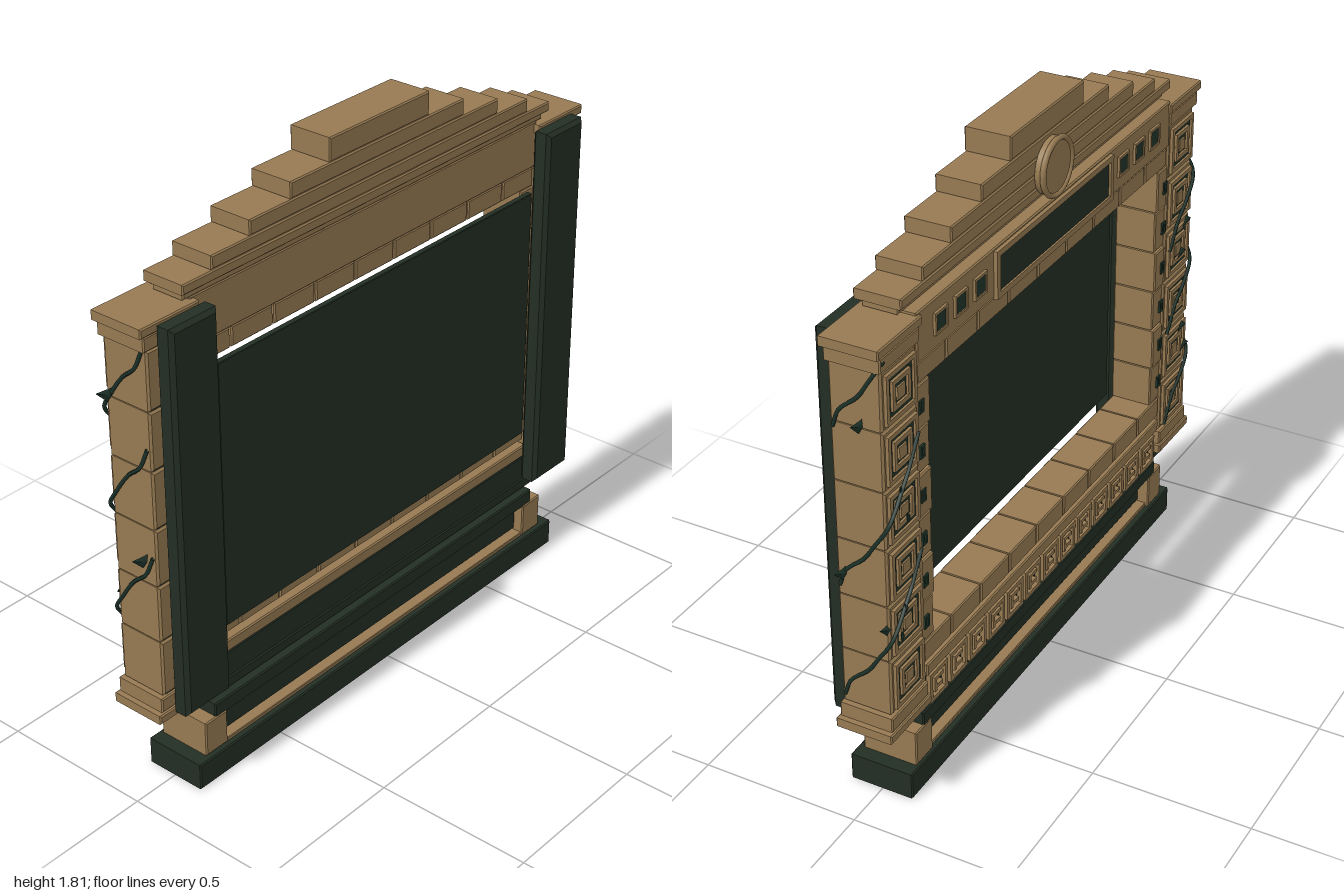
import * as THREE from 'three';

const mat = (name, color, side = THREE.FrontSide) => {
  const m = new THREE.MeshStandardMaterial({ color, side });
  m.name = name;
  return m;
};

export function createModel() {
  const stone = mat('sandstone', 0x967a52);
  const dark = mat('dark green slab', 0x232e24);
  const inlay = mat('green inlay', 0x1f3529);
  const vineMat = mat('vine green', 0x1c3229, THREE.DoubleSide);
  const root = new THREE.Group();

  const add = (parent, name, geo, material) => {
    const m = new THREE.Mesh(geo, material);
    m.name = name;
    parent.add(m);
    return m;
  };
  // box given by its limits, with chamfered edges
  const block = (parent, name, material, x0, x1, y0, y1, z0, z1, c = 0.004) => {
    const s = new THREE.Shape();
    const w = (x1 - x0) / 2 - c, h = (y1 - y0) / 2 - c;
    s.moveTo(-w, -h).lineTo(w, -h).lineTo(w, h).lineTo(-w, h).closePath();
    const g = new THREE.ExtrudeGeometry(s, {
      depth: z1 - z0 - 2 * c, bevelThickness: c, bevelSize: c, bevelSegments: 1,
    });
    g.translate((x0 + x1) / 2, (y0 + y1) / 2, z0 + c);
    return add(parent, name, g, material);
  };
  const plate = (parent, name, material, x, y, z, w, h, d = 0.006) => {
    const m = add(parent, name, new THREE.BoxGeometry(w, h, d), material);
    m.position.set(x, y, z);
    return m;
  };
  // rectangular ring facing both ways
  const ring = (parent, name, material, x, y, z, w, h, t, d = 0.006) => {
    const rect = (P, a, b) => new P().moveTo(-a, -b).lineTo(a, -b).lineTo(a, b).lineTo(-a, b).closePath();
    const s = rect(THREE.Shape, w / 2, h / 2);
    s.holes.push(rect(THREE.Path, w / 2 - t, h / 2 - t));
    const g = new THREE.ExtrudeGeometry(s, { depth: d, bevelEnabled: false });
    add(parent, name, g, material).position.set(x, y, z - d / 2);
  };
  const group = (name) => {
    const g = new THREE.Group();
    g.name = name;
    root.add(g);
    return g;
  };

  // stand
  const stand = group('stand');
  block(stand, 'basePlinth', dark, -0.845, 0.845, 0, 0.086, -0.1, 0.105);
  block(stand, 'baseStrip', stone, -0.71, 0.71, 0.084, 0.097, -0.08, 0.085, 0.002);
  for (const s of [-1, 1])
    block(stand, 'foot', stone, s * 0.755 - 0.045, s * 0.755 + 0.045, 0.086, 0.2, -0.09, 0.088);
  block(stand, 'standPanel', dark, -0.705, 0.705, 0.106, 0.195, -0.055, 0.06);
  block(stand, 'standRail', dark, -0.755, 0.755, 0.193, 0.242, -0.088, 0.085);
  block(stand, 'lowerBand', dark, -0.8, 0.8, 0.245, 0.282, -0.083, 0.062);
  block(stand, 'friezeBand', dark, -0.75, 0.75, 0.28, 0.37, -0.083, 0.06);
  block(stand, 'ledge', stone, -0.745, 0.745, 0.37, 0.41, -0.1, 0.062);

  // square spirals along the back of the frieze
  const frieze = group('keyFrieze');
  for (let i = 0; i < 13; i++) {
    const x = (i - 6) * 0.113, y = 0.309, z = -0.089;
    ring(frieze, 'keyFrame', stone, x, y, z, 0.098, 0.1, 0.014, 0.016);
    plate(frieze, 'keyHook', stone, x, y + 0.019, z, 0.048, 0.012, 0.016);
    plate(frieze, 'keyHook', stone, x + 0.018, y, z, 0.012, 0.05, 0.016);
    plate(frieze, 'keyHook', stone, x - 0.004, y - 0.012, z, 0.034, 0.012, 0.016);
  }

  // brick surround of the opening
  const surround = group('brickSurround');
  const seams = [-0.755, -0.6, -0.429, -0.257, -0.086, 0.086, 0.257, 0.429, 0.6, 0.755];
  for (let i = 0; i < 9; i++) {
    const a = seams[i] + 0.003, b = seams[i + 1] - 0.003;
    block(surround, 'lintelBrick', stone, a, b, 1.325, 1.388, -0.095, 0.045);
    block(surround, 'sillBrick', stone, a, b, 0.42, 0.488, -0.095, 0.045);
  }
  for (const s of [-1, 1]) {
    for (let i = 0; i < 6; i++) {
      const y = 0.489 + i * 0.1393, inner = s * 0.692, outer = s * 0.758;
      block(surround, 'jambBrick', stone, Math.min(inner, outer), Math.max(inner, outer),
        y + 0.002, y + 0.137, i % 2 ? -0.097 : -0.092, 0.045);
      ring(surround, 'jambMark', inlay, s * 0.74, y + 0.07, -0.098, 0.024, 0.04, 0.008);
    }
  }
  block(root, 'screen', dark, -0.696, 0.696, 0.485, 1.33, 0.065, 0.085, 0.002);

  // header with sign panel, small windows and medallion on the back
  const header = group('header');
  block(header, 'headerSlab', stone, -0.756, 0.756, 1.39, 1.54, -0.1, 0.05);
  block(header, 'headerNeck', stone, -0.78, 0.78, 1.538, 1.564, -0.062, 0.05);
  plate(header, 'signPanel', dark, 0, 1.46, -0.103, 0.66, 0.115);
  ring(header, 'signRim', stone, 0, 1.46, -0.105, 0.7, 0.146, 0.018, 0.014);
  for (const s of [-1, 1]) {
    for (const x of [0.43, 0.535, 0.64]) {
      plate(header, 'windowInlay', inlay, s * x, 1.468, -0.102, 0.05, 0.05);
      ring(header, 'windowRim', stone, s * x, 1.468, -0.103, 0.066, 0.066, 0.008, 0.01);
    }
  }
  const disc = add(header, 'medallion', new THREE.CylinderGeometry(0.085, 0.085, 0.028, 28), stone);
  disc.rotation.x = Math.PI / 2;
  disc.position.set(0, 1.64, -0.096);
  add(header, 'medallionRim', new THREE.TorusGeometry(0.084, 0.009, 6, 28), stone).position.set(0, 1.64, -0.108);

  // stepped roof: half width, bottom, top
  const roof = group('steppedRoof');
  for (const [w, y0, y1] of [[0.795, 1.562, 1.593], [0.685, 1.595, 1.636], [0.537, 1.638, 1.684],
    [0.374, 1.686, 1.736], [0.214, 1.738, 1.81]])
    block(roof, 'roofStep', stone, -w, w, y0, y1, -0.08, 0.065);

  // columns, front slabs and vines
  for (const s of [-1, 1]) {
    const col = group(s > 0 ? 'leftColumn' : 'rightColumn');
    const tier = (name, m, a, b, y0, y1, z0, z1, c) =>
      block(col, name, m, Math.min(s * a, s * b), Math.max(s * a, s * b), y0, y1, z0, z1, c);
    tier('columnCore', inlay, 0.765, 0.922, 0.3, 1.5, -0.088, 0.055);
    for (let i = 0; i < 6; i++) {
      const y = 0.362 + i * 0.1823, cy = y + 0.091;
      tier('columnBlock', stone, 0.757, 0.932, y + 0.002, y + 0.181, -0.097, 0.062, 0.006);
      ring(col, 'carvedFrame', stone, s * 0.845, cy, -0.101, 0.15, 0.15, 0.014, 0.012);
      ring(col, 'carvedGroove', inlay, s * 0.845, cy, -0.097, 0.122, 0.122, 0.014);
      ring(col, 'carvedSquare', stone, s * 0.845, cy, -0.101, 0.09, 0.09, 0.014, 0.012);
      plate(col, 'carvedCentre', inlay, s * 0.845, cy, -0.097, 0.062, 0.062);
      plate(col, 'carvedBoss', stone, s * 0.845, cy - 0.004, -0.1, 0.038, 0.038, 0.01);
    }
    tier('columnFoot', stone, 0.742, 0.96, 0.283, 0.312, -0.11, 0.072);
    tier('columnFootStep', stone, 0.75, 0.945, 0.314, 0.36, -0.105, 0.066);
    tier('capitalStep', stone, 0.75, 0.945, 1.457, 1.502, -0.105, 0.066);
    tier('capital', stone, 0.742, 0.96, 1.504, 1.533, -0.11, 0.072);
    tier('frontSlab', dark, 0.722, 0.9, 0.297, 1.522, 0.06, 0.122, 0.012);

    // climbing vines wind the same way round both columns
    const path = [[0.937, 0, 0.05], [0.942, 0.06, 0.025], [0.938, 0.11, -0.03], [0.942, 0.17, -0.07],
      [0.932, 0.23, -0.107], [0.87, 0.31, -0.112], [0.83, 0.35, -0.109], [0.772, 0.44, -0.108]];
    for (const y0 of s > 0 ? [0.39, 0.76, 1.26] : [0.38, 0.72, 1.02]) {
      let pts = path.map(([x, y, z]) => new THREE.Vector3(s * x, y0 + (s > 0 ? y : 0.44 - y), z));
      pts = pts.filter((p) => p.y < 1.5);
      add(col, 'vine', new THREE.TubeGeometry(new THREE.CatmullRomCurve3(pts), 28, 0.006, 5), vineMat);
    }
    // folded diamond leaves
    const leaf = (x, y, z, size, turn, tilt) => {
      const g = new THREE.ConeGeometry(size * 0.36, size, 4);
      g.scale(1, 1, 0.4);
      g.rotateZ(-Math.PI / 2);
      const m = add(col, 'leaf', g, vineMat);
      m.position.set(x, y, z);
      m.rotation.set(0, turn, tilt);
    };
    const sideLeaves = s > 0 ? [[1.3, -0.04], [0.82, 0.03], [0.66, -0.09]] : [[1.3, -0.07], [0.82, 0.03]];
    sideLeaves.forEach(([y, z], i) =>
      leaf(s * (i === 2 ? 0.945 : 0.97), y, z, 0.055, s > 0 ? 0 : Math.PI, 0.45));
    for (const y of [0.62, 0.7, 0.98, 1.08])
      leaf(s * (0.9 - (y % 0.2) * 0.3), y, -0.112, 0.04, Math.PI * 0.12 * s, 0.9 * s);
  }
  return root;
}
